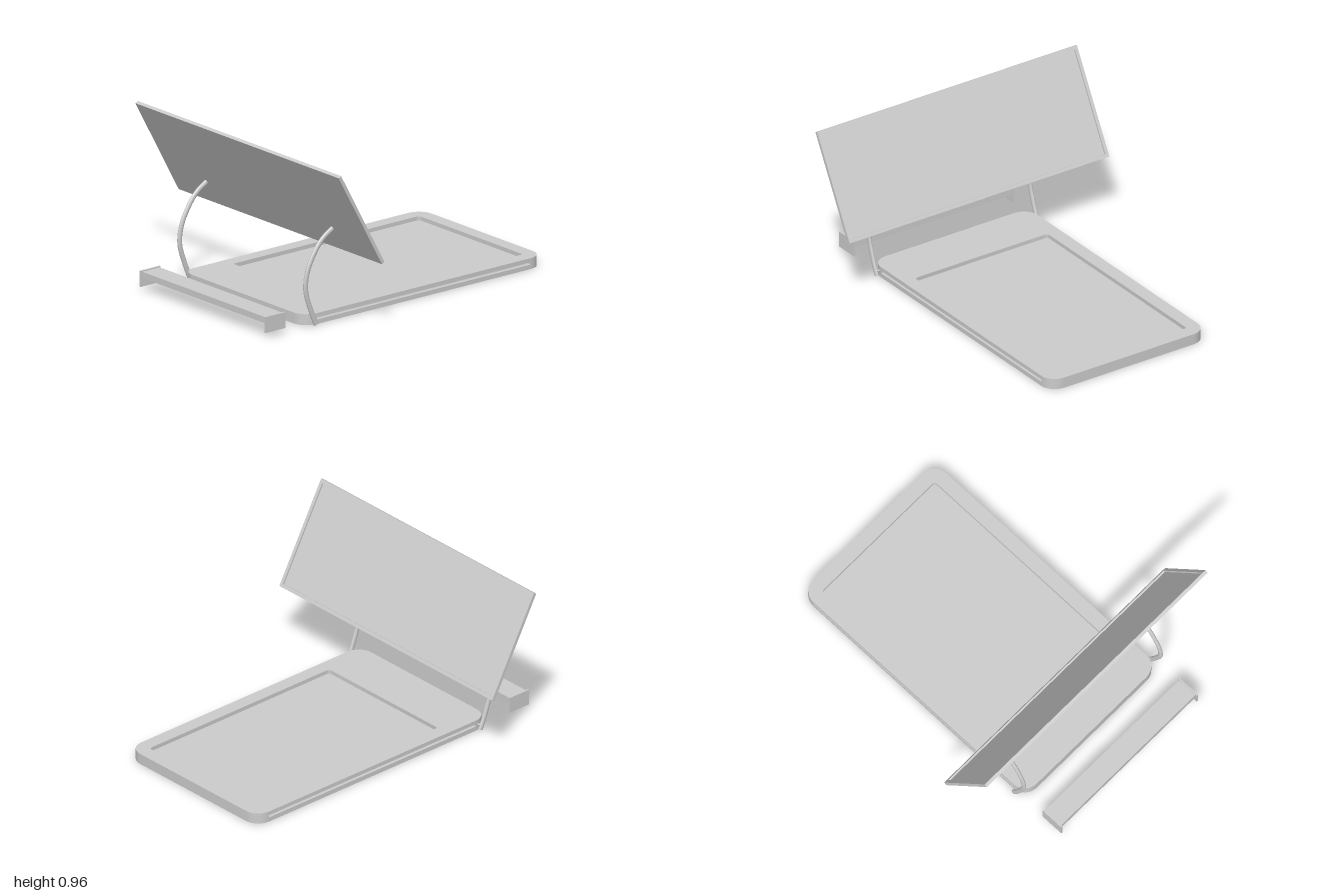
import * as THREE from 'three';
import { toCreasedNormals } from 'three/addons/utils/BufferGeometryUtils.js';

const material = new THREE.MeshStandardMaterial({ color: 0xcccccc, side: THREE.DoubleSide });
const N = 8; // segments per rounded corner

function add(parent, name, geometry, x = 0, y = 0, z = 0) {
  const mesh = new THREE.Mesh(geometry, material);
  mesh.name = name;
  mesh.position.set(x, y, z);
  parent.add(mesh);
  return mesh;
}

// Outline of a rounded rectangle on the ground plane (x, z), two front corners first
function outline(halfWidth, zBack, zFront, r) {
  const points = [];
  const corners = [[1, 1], [-1, 1], [-1, -1], [1, -1]];
  corners.forEach(([sx, sz], c) => {
    const cx = sx * (halfWidth - r);
    const cz = sz > 0 ? zFront - r : zBack + r;
    for (let i = 0; i <= N; i++) {
      const a = (c + i / N) * Math.PI / 2;
      points.push(new THREE.Vector2(cx + r * Math.cos(a), cz + r * Math.sin(a)));
    }
  });
  return points;
}

// Horizontal slab between two heights, with an optional hole
function slab(parent, name, points, hole, y0, y1) {
  const shape = new THREE.Shape(points);
  if (hole) shape.holes.push(new THREE.Path(hole));
  const g = new THREE.ExtrudeGeometry(shape, { depth: y1 - y0, bevelEnabled: false });
  g.rotateX(Math.PI / 2);
  return add(parent, name, toCreasedNormals(g, 0.6), 0, y1, 0);
}

function makeTray() {
  const tray = new THREE.Group();
  tray.name = 'tray';
  const outer = outline(0.525, -1, 0.71, 0.09);
  const inner = outline(0.505, -0.98, 0.69, 0.07);
  const pocket = outline(0.445, -0.92, 0.41, 0.02);
  const pocketOuter = outline(0.455, -0.93, 0.42, 0.03);

  // Hollow shell: top deck with an opening, and rim walls above and below the slots
  slab(tray, 'topDeck', outer, pocket, 0.05, 0.063);
  slab(tray, 'upperRim', outer, inner, 0.04, 0.05);
  slab(tray, 'lowerRim', outer, inner, 0, 0.026);

  // Rounded ends of the rim, leaving a long slot through each side
  const half = 2 * (N + 1);
  [['frontRimEnd', 0], ['backRimEnd', half]].forEach(([name, s]) => {
    const strip = [...outer.slice(s, s + half), ...inner.slice(s, s + half).reverse()];
    slab(tray, name, strip, null, 0.026, 0.04);
  });

  // Sunken pocket in the deck
  slab(tray, 'pocketWall', pocketOuter, pocket, 0.03, 0.055);
  slab(tray, 'pocketFloor', pocketOuter, null, 0.028, 0.04);
  return tray;
}

function makeArm(side) {
  const arm = new THREE.Group();
  arm.name = side > 0 ? 'leftArm' : 'rightArm';
  const curve = new THREE.CatmullRomCurve3([
    [0.006, 0.639], [0.1, 0.678], [0.22, 0.713], [0.32, 0.7],
    [0.42, 0.65], [0.49, 0.592], [0.54, 0.515],
  ].map(([y, z]) => new THREE.Vector3(0, y, z)));
  const x = side * 0.54;
  // Slightly flattened bent rod
  add(arm, 'armRod', new THREE.TubeGeometry(curve, 40, 0.015, 12), x).scale.x = 0.7;
  [0, 1].forEach((t) => {
    const p = curve.getPointAt(t);
    const cap = add(arm, 'armCap', new THREE.CircleGeometry(0.015, 12), x, p.y, p.z);
    cap.lookAt(p.clone().add(curve.getTangentAt(t).multiplyScalar(t ? 1 : -1)).setX(x));
    cap.scale.x = 0.7;
  });
  // Pin that sits in the side slot
  const pin = new THREE.CylinderGeometry(0.007, 0.007, 0.035, 12).rotateZ(Math.PI / 2);
  add(arm, 'slidePin', pin, side * 0.523, 0.033, 0.64);
  return arm;
}

function makePanel() {
  const panel = new THREE.Group();
  panel.name = 'tiltedPanel';
  const w = 1.744, h = 0.64, rim = 0.02;
  // Front sheet with a raised rim around the back
  add(panel, 'panelSheet', new THREE.BoxGeometry(w, h, 0.01), 0, 0, 0.005);
  for (const s of [-1, 1]) {
    add(panel, 'panelLongRim', new THREE.BoxGeometry(w, rim, 0.01), 0, s * (h - rim) / 2, -0.005);
    add(panel, 'panelShortRim', new THREE.BoxGeometry(rim, h - 2 * rim, 0.01), s * (w - rim) / 2, 0, -0.005);
  }
  panel.position.set(0, 0.68, 0.59);
  panel.rotation.x = Math.atan2(0.484, 0.875);
  return panel;
}

function makeBar() {
  const bar = new THREE.Group();
  bar.name = 'frontBar';
  add(bar, 'crossBar', new THREE.BoxGeometry(1.06, 0.036, 0.125), 0, 0.098, 0.927);
  for (const s of [-1, 1]) {
    add(bar, 'endPlate', new THREE.BoxGeometry(0.01, 0.092, 0.142), s * 0.535, 0.076, 0.929);
  }
  return bar;
}

export function createModel() {
  const model = new THREE.Group();
  model.name = 'trayWithTiltedPanel';
  model.add(makeTray(), makeArm(1), makeArm(-1), makePanel(), makeBar());
  return model;
}
